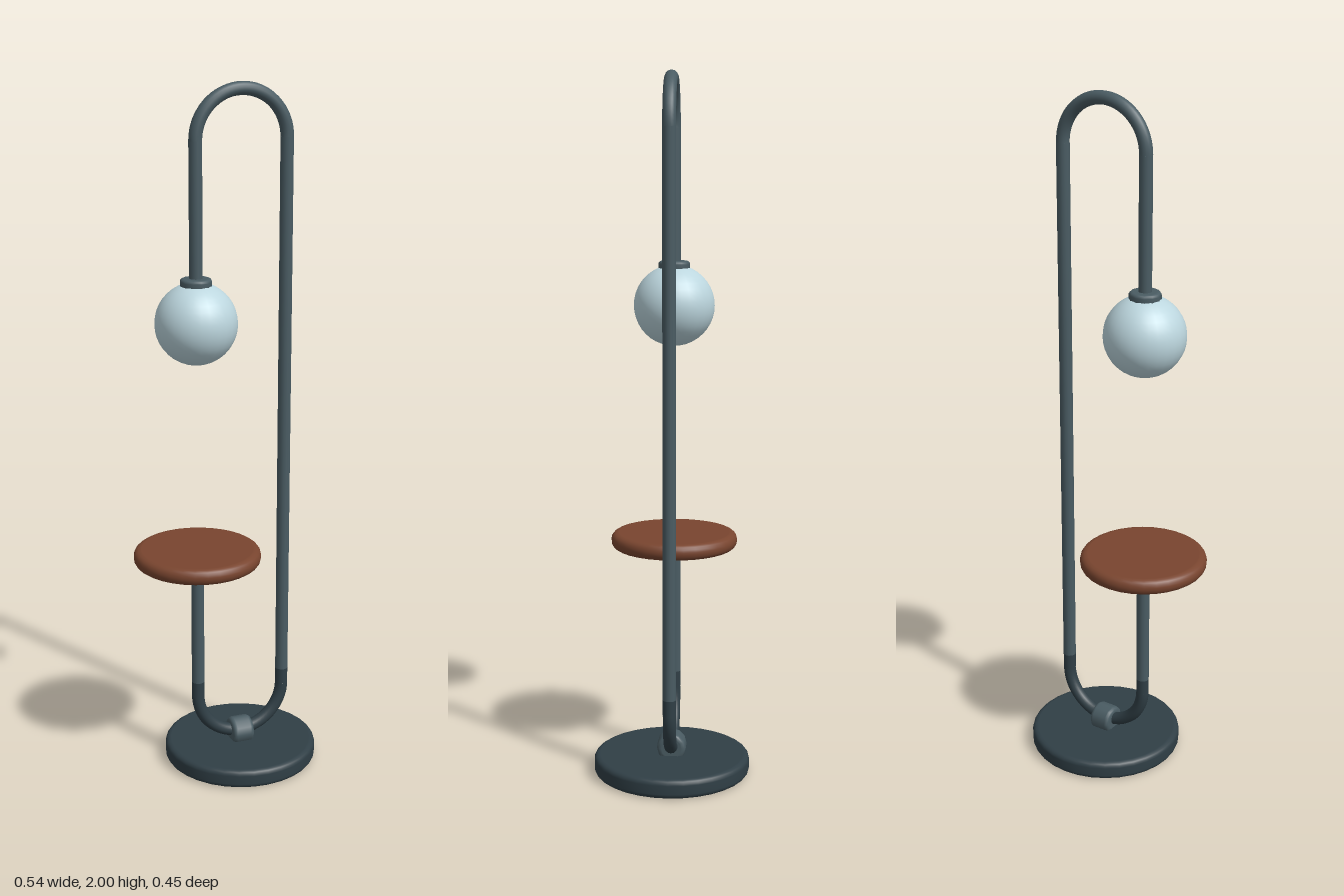
import * as THREE from 'three';

const material = (name, color) => {
  const m = new THREE.MeshStandardMaterial({ color });
  m.name = name;
  return m;
};

export function createModel() {
  const darkMetal = material('darkMetal', 0x303f46);
  const steel = material('steel', 0x4a5c63);
  const wood = material('wood', 0x79452f);
  const glass = material('glass', 0xbcd6de);

  const model = new THREE.Group();
  model.name = 'floorLamp';
  const PIPE = 0.0187, LEFT = -0.09, RIGHT = 0.178;
  const MID = (LEFT + RIGHT) / 2, BEND = (RIGHT - LEFT) / 2;
  const TOP = 2 - PIPE - BEND, LOW = 0.214, JOINT = 0.26;

  const add = (name, geometry, mat, x, y) => {
    const mesh = new THREE.Mesh(geometry, mat);
    mesh.name = name;
    mesh.position.set(x, y, 0);
    model.add(mesh);
    return mesh;
  };

  // Disc with rounded rims, centred on its own height
  const roundedDisc = (radius, height, bevel, sides) => {
    const points = [new THREE.Vector2(0, -height / 2), new THREE.Vector2(radius - bevel * 1.1, -height / 2)];
    for (const side of [-1, 1]) {
      for (let i = 0; i <= 4; i++) {
        const a = (side < 0 ? -Math.PI / 2 : 0) + (i / 4) * Math.PI / 2;
        points.push(new THREE.Vector2(
          radius - bevel + bevel * Math.cos(a),
          side * (height / 2 - bevel) + bevel * Math.sin(a)));
      }
    }
    points.push(new THREE.Vector2(radius - bevel * 1.1, height / 2), new THREE.Vector2(0, height / 2));
    return new THREE.LatheGeometry(points, sides);
  };

  const pipe = (name, mat, x, y0, y1) =>
    add(name, new THREE.CylinderGeometry(PIPE, PIPE, y1 - y0, 14), mat, x, (y0 + y1) / 2);
  const bend = () => new THREE.TorusGeometry(BEND, PIPE, 14, 32, Math.PI);

  // Base
  add('base', roundedDisc(0.225, 0.055, 0.015, 32), darkMetal, MID, 0.0275);

  // Lower U-shaped pipe and its clamp
  add('lowerBend', bend(), darkMetal, MID, LOW).rotation.z = Math.PI;
  pipe('lowerBendLeftEnd', darkMetal, LEFT, LOW, JOINT);
  pipe('lowerBendRightEnd', darkMetal, RIGHT, LOW, JOINT);
  add('clamp', roundedDisc(0.042, 0.066, 0.012, 12), steel, MID, 0.077).rotation.z = Math.PI / 2;

  // Tall pole, top arch and lamp drop
  pipe('pole', steel, RIGHT, JOINT, TOP);
  add('topArch', bend(), steel, MID, TOP);
  pipe('lampDrop', steel, LEFT, 1.46, TOP);

  // Side table
  pipe('tableStem', steel, LEFT, JOINT, 0.65);
  add('tableTop', roundedDisc(0.184, 0.046, 0.02, 32), wood, LEFT, 0.66);

  // Globe and its holder
  add('globe', new THREE.SphereGeometry(0.116, 28, 20), glass, LEFT, 1.347);
  add('globeHolder', roundedDisc(0.045, 0.03, 0.009, 12), steel, LEFT, 1.459);

  return model;
}
